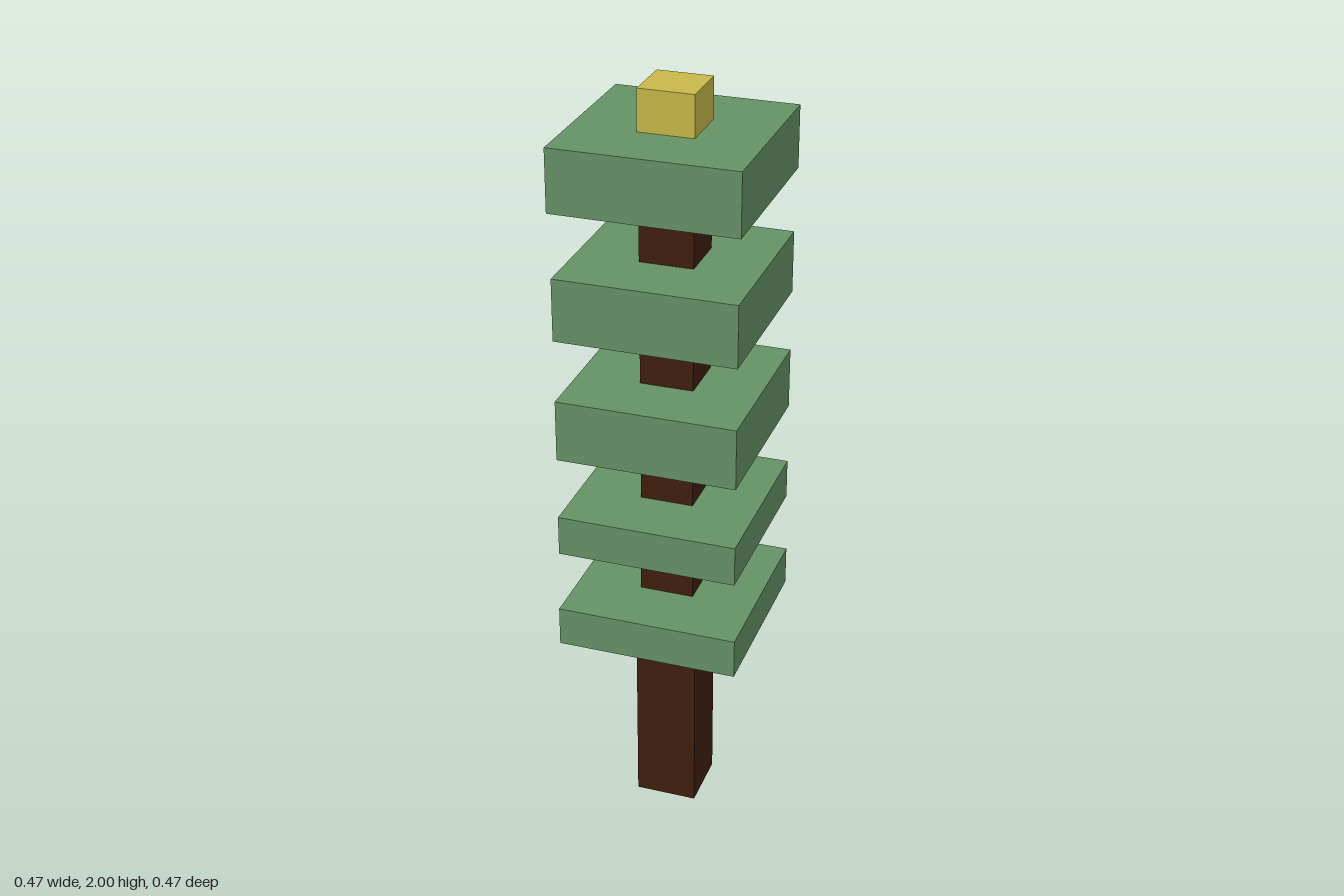
import * as THREE from 'three';

export function createModel() {
  const tree = new THREE.Group();
  tree.name = 'tieredTree';

  const bark = new THREE.MeshStandardMaterial({ name: 'bark brown', color: 0x40200e });
  const leaf = new THREE.MeshStandardMaterial({ name: 'leaf green', color: 0x659265 });
  const gold = new THREE.MeshStandardMaterial({ name: 'topper yellow', color: 0xc8b84a });

  // Square block spanning bottom to top on the central axis
  function block(name, width, bottom, top, material) {
    const mesh = new THREE.Mesh(new THREE.BoxGeometry(width, top - bottom, width), material);
    mesh.name = name;
    mesh.position.y = (bottom + top) / 2;
    tree.add(mesh);
  }

  // Foliage slabs: width, bottom, top
  const tiers = [
    [0.47, 0.545, 0.65],
    [0.463, 0.815, 0.921],
    [0.461, 1.085, 1.246],
    [0.461, 1.408, 1.57],
    [0.47, 1.735, 1.895],
  ];
  tiers.forEach(([width, bottom, top], i) => block(`foliageTier${i + 1}`, width, bottom, top, leaf));

  // Thick base trunk, then thinner trunk pieces between the tiers
  block('baseTrunk', 0.162, 0, tiers[0][1], bark);
  for (let i = 0; i < tiers.length - 1; i++) {
    block(`trunkSegment${i + 1}`, i === 0 ? 0.141 : 0.138, tiers[i][2], tiers[i + 1][1], bark);
  }

  // Topper cube
  block('topper', 0.141, tiers[4][2], 2, gold);

  return tree;
}
